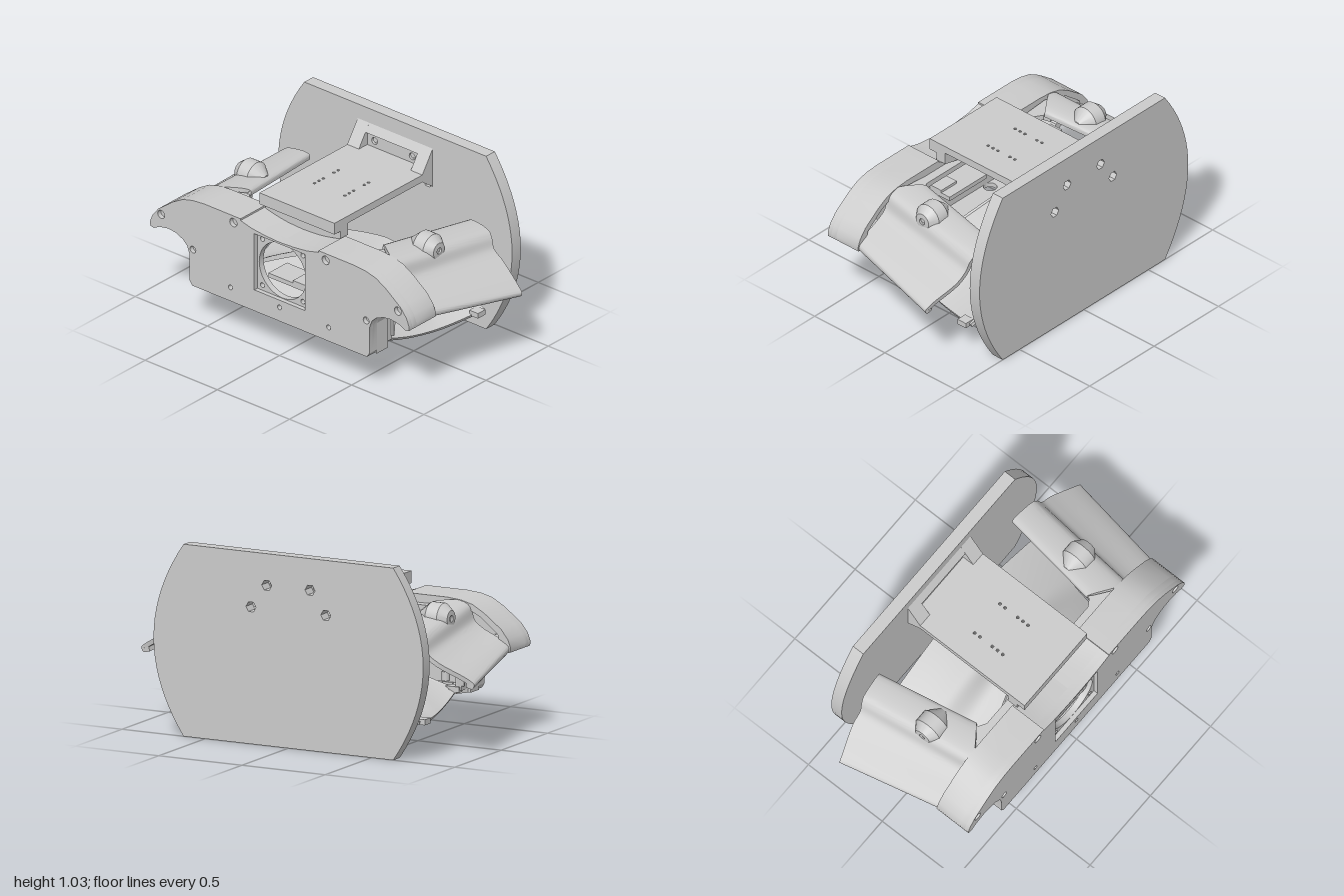
import * as THREE from 'three';
import { toCreasedNormals } from 'three/addons/utils/BufferGeometryUtils.js';

const mat = new THREE.MeshStandardMaterial({ color: 0xcccccc, side: THREE.DoubleSide });
const V2 = (x, y) => new THREE.Vector2(x, y);
const { lerp, smoothstep } = THREE.MathUtils;

function add(parent, name, geo) {
  const m = new THREE.Mesh(geo, mat);
  m.name = name;
  parent.add(m);
}
function box(parent, name, x0, x1, y0, y1, z0, z1) {
  const g = new THREE.BoxGeometry(x1 - x0, y1 - y0, z1 - z0);
  add(parent, name, g.translate((x0 + x1) / 2, (y0 + y1) / 2, (z0 + z1) / 2));
}
const poly = (pts) => new THREE.Shape(pts.map(([x, y]) => V2(x, y)));
// closed outline from its right half, listed from the top centre to the bottom centre
const mirrored = (half) => poly([...half, ...half.slice(1, -1).reverse().map(([x, y]) => [-x, y])]);
function circleHole(shape, x, y, r, sides = 20) {
  const pts = [];
  for (let i = 0; i < sides; i++) {
    const a = (i / sides) * Math.PI * 2;
    pts.push(V2(x + r * Math.cos(a), y + r * Math.sin(a)));
  }
  shape.holes.push(new THREE.Path(pts));
}
const extrude = (shape, depth) =>
  toCreasedNormals(new THREE.ExtrudeGeometry(shape, { depth, bevelEnabled: false, curveSegments: 24 }), 0.5);
// extrusions: front outline, plan outline (x, z) and side outline (z, y)
const frontCut = (s, z0, z1) => extrude(s, z1 - z0).translate(0, 0, z0);
const planCut = (s, y0, y1) => extrude(s, y1 - y0).rotateX(Math.PI / 2).translate(0, y1, 0);
const sideCut = (s, x0, x1) => extrude(s, x1 - x0).rotateY(-Math.PI / 2).translate(x1, 0, 0);

// closed sheet of given thickness over a surface f(u, v)
function sheet(f, nu, nv, t) {
  const pos = [], idx = [], row = nv + 1, N = (nu + 1) * row, e = 1e-3;
  const top = [], bottom = [];
  for (let i = 0; i <= nu; i++) for (let j = 0; j <= nv; j++) {
    const u = i / nu, v = j / nv, p = f(u, v);
    const du = f(Math.min(u + e, 1), v).sub(f(Math.max(u - e, 0), v));
    const dv = f(u, Math.min(v + e, 1)).sub(f(u, Math.max(v - e, 0)));
    top.push(p);
    bottom.push(p.clone().addScaledVector(du.cross(dv).normalize(), -t));
  }
  for (const p of [...top, ...bottom]) pos.push(p.x, p.y, p.z);
  const quad = (a, b, c, d) => idx.push(a, b, c, a, c, d);
  for (let i = 0; i < nu; i++) for (let j = 0; j < nv; j++) {
    const a = i * row + j, b = a + row;
    quad(a, b, b + 1, a + 1);
    quad(N + a, N + a + 1, N + b + 1, N + b);
  }
  for (let i = 0; i < nu; i++) {
    const a = i * row, b = a + row;
    quad(a, N + a, N + b, b);
    quad(a + nv, b + nv, N + b + nv, N + a + nv);
  }
  for (let j = 0; j < nv; j++) {
    const a = j, b = nu * row + j;
    quad(a, a + 1, N + a + 1, N + a);
    quad(b, N + b, N + b + 1, b + 1);
  }
  const g = new THREE.BufferGeometry();
  g.setAttribute('position', new THREE.Float32BufferAttribute(pos, 3));
  g.setIndex(idx);
  return toCreasedNormals(g, 0.7);
}

function backPlate(root) {
  const half = [[0, 1.03], [0.63, 1.03]];
  for (let i = 1; i < 20; i++) {
    const k = 1 - i / 10;
    half.push([0.63 + 0.18 * (1 - k * k), 0.515 + 0.515 * k]);
  }
  half.push([0.63, 0], [0, 0]);
  const s = mirrored(half);
  for (const d of [-1, 1]) {
    circleHole(s, d * 0.13, 0.86, 0.03, 6);
    circleHole(s, d * 0.225, 0.735, 0.03, 6);
  }
  add(root, 'backPlate', frontCut(s, -0.5, -0.43));
}

function bracket(root) {
  const g = new THREE.Group();
  g.name = 'bracket';
  root.add(g);
  const deck = poly([[-0.26, -0.43], [0.26, -0.43], [0.26, 0.36], [-0.26, 0.36]]);
  for (const x of [-0.11, 0.1]) for (const z of [-0.1, -0.065, 0.02, 0.055, 0.09]) circleHole(deck, x, z, 0.008, 10);
  add(g, 'platform', planCut(deck, 0.78, 0.822));
  // sloping gussets either side of a window
  for (const x of [-0.26, 0.18]) {
    add(g, 'gusset', sideCut(poly([[-0.345, 0.82], [-0.43, 0.945], [-0.43, 0.72], [-0.345, 0.78]]), x, x + 0.08));
  }
  add(g, 'windowHead', sideCut(poly([[-0.4, 0.9], [-0.43, 0.945], [-0.43, 0.9]]), -0.18, 0.18));
  const flange = poly([[-0.18, 0.82], [0.18, 0.82], [0.18, 0.9], [-0.18, 0.9]]);
  for (const d of [-1, 1]) circleHole(flange, d * 0.13, 0.86, 0.02);
  add(g, 'flange', frontCut(flange, -0.43, -0.415));
  box(g, 'lowerFlange', -0.18, 0.18, 0.72, 0.78, -0.43, -0.413);
  // stepped foot with a curved underside
  box(g, 'footLip', -0.26, 0.26, 0.755, 0.79, 0.25, 0.36);
  const foot = poly([[-0.26, 0.76], [-0.26, 0.71]]);
  foot.quadraticCurveTo(0, 0.64, 0.26, 0.71);
  foot.lineTo(0.26, 0.76);
  add(g, 'foot', frontCut(foot, 0.25, 0.31));
}

// right half of the front outline: upper part, then the leg below the wing
const upperHalf = [[0, 0.675], [0.1, 0.68], [0.19, 0.69], [0.27, 0.71], [0.27, 0.72], [0.52, 0.72], [0.6, 0.713],
  [0.67, 0.695], [0.74, 0.655], [0.84, 0.58], [0.88, 0.53], [0.898, 0.485], [0.895, 0.46], [0.87, 0.455],
  [0.83, 0.476], [0.77, 0.486], [0.72, 0.48], [0.67, 0.458], [0.64, 0.43], [0.625, 0.39]];
const bodyHalf = [...upperHalf, [0.622, 0.23], [0.605, 0.205], [0, 0.205]];
const cavityEdge = [[0.595, 0.39], [0.6, 0.43], [0.64, 0.49], [0.74, 0.52], [0.83, 0.515], [0.82, 0.55], [0.72, 0.63],
  [0.63, 0.675], [0.55, 0.69], [0.26, 0.665], [0, 0.645]];

function frontBody(root) {
  const g = new THREE.Group();
  g.name = 'frontBody';
  root.add(g);
  const face = mirrored(bodyHalf);
  face.holes.push(new THREE.Path([V2(-0.175, 0.33), V2(0.175, 0.33), V2(0.175, 0.665), V2(-0.175, 0.665)]));
  circleHole(face, 0, 0.287, 0.014);
  for (const d of [-1, 1]) {
    for (const [x, y, r] of [[0.32, 0.68, 0.025], [0.82, 0.553, 0.024], [0.6, 0.42, 0.02], [0.34, 0.287, 0.014]]) {
      circleHole(face, d * x, y, r);
    }
  }
  add(g, 'facePlate', frontCut(face, 0.475, 0.5));
  // recessed panel with the round opening
  const panel = mirrored(bodyHalf);
  circleHole(panel, 0, 0.495, 0.162, 48);
  for (const x of [-0.14, 0.14]) for (const y of [0.36, 0.635]) circleHole(panel, x, y, 0.014);
  add(g, 'panel', frontCut(panel, 0.44, 0.475));
  // floor with openings
  const floor = mirrored([[0, 0.45], [0.605, 0.45], [0.605, 0.35], [0.57, 0.29], [0.4, 0.225], [0, 0.225]]);
  for (const d of [-1, 1]) {
    circleHole(floor, d * 0.195, 0.28, 0.036);
    circleHole(floor, d * 0.26, 0.405, 0.036);
    floor.holes.push(new THREE.Path([V2(d * 0.41, 0.38), V2(d * 0.48, 0.38), V2(d * 0.48, 0.43), V2(d * 0.41, 0.43)]));
  }
  add(g, 'floor', planCut(floor, 0.205, 0.23));
  box(g, 'innerShelf', -0.12, 0.17, 0.405, 0.43, 0.3, 0.45);
  box(g, 'shelfBlock', 0.05, 0.17, 0.43, 0.445, 0.36, 0.45);
  const roof = mirrored([[0, 0.3], [0.62, 0.3], [0.61, 0.2], [0.47, 0.17], [0.46, 0.21], [0.42, 0.235], [0, 0.235]]);
  add(g, 'roof', planCut(roof, 0.645, 0.675));
  // wing walls, legs and rear ribs
  for (const d of [-1, 1]) {
    const side = new THREE.Group();
    side.name = d > 0 ? 'leftWing' : 'rightWing';
    side.scale.x = d;
    g.add(side);
    add(side, 'wingWall', frontCut(poly([...upperHalf, ...cavityEdge]), 0.285, 0.44));
    box(side, 'leg', 0.595, 0.622, 0.206, 0.4, 0.35, 0.44);
    box(side, 'innerLeg', 0.565, 0.6, 0.225, 0.45, 0.29, 0.36);
    add(side, 'rearRib', sideCut(poly([[0.3, 0.25], [0.29, 0.25], [0.28, 0.34], [0.22, 0.42], [0.22, 0.5], [0.3, 0.5]]), 0.575, 0.615));
    add(side, 'standoff', new THREE.CylinderGeometry(0.022, 0.022, 0.05, 16).translate(0.52, 0.302, 0.265));
  }
}

function arm() {
  const g = new THREE.Group();
  // front and back sections (x, y, z), from the turned-down inner edge to the curled outer lip
  const curve = (pts) => new THREE.CatmullRomCurve3(pts.map((p) => new THREE.Vector3(...p)), false, 'centripetal');
  const front = curve([[0.455, 0.672, 0.2], [0.46, 0.7, 0.2], [0.61, 0.708, 0.3], [0.65, 0.685, 0.3], [0.675, 0.61, 0.3],
    [0.72, 0.575, 0.3], [0.85, 0.515, 0.3], [0.885, 0.488, 0.3], [0.882, 0.462, 0.3], [0.855, 0.46, 0.3]]);
  const back = curve([[0.55, 0.617, -0.385], [0.555, 0.645, -0.385], [0.7, 0.638, -0.37], [0.73, 0.61, -0.36], [0.755, 0.555, -0.35],
    [0.82, 0.51, -0.345], [0.965, 0.432, -0.3], [1.0, 0.402, -0.29], [0.988, 0.378, -0.29], [0.95, 0.385, -0.29]]);
  add(g, 'armShell', sheet((u, v) => front.getPoint(u).lerp(back.getPoint(u), v), 54, 12, 0.025));
  // rounded pivot boss with tapered ends
  const profile = [[0, 0.51], [0.025, 0.51], [0.08, 0.575], [0.08, 0.645], [0.045, 0.69], [0.018, 0.692], [0.018, 0.68], [0, 0.68]];
  const boss = new THREE.LatheGeometry(profile.map(([r, h]) => V2(r, h)), 32);
  add(g, 'pivotBoss', toCreasedNormals(boss.rotateZ(-Math.PI / 2).translate(0, 0.67, 0.018), 0.5));
  return g;
}

function lowerShell(root) {
  // arch height, rim height and half width at depth z
  const crown = (z) => 0.337 + 0.1 * smoothstep(z, -0.09, 0.06) + 0.35 * Math.min(z + 0.15, 0) ** 2;
  const rim = (z) => 0.152 + (z > -0.05 ? 0.55 : 0.4) * (z + 0.05) ** 2;
  const reach = (z) => 0.61 - 0.211 * z + 0.16 * z * z;
  const surface = (u, v) => {
    const s = u * 2 - 1, k = Math.abs(s) ** 1.4;
    const z = lerp(0.12 + 0.19 * k, -0.362 + 0.025 * k, v);
    return new THREE.Vector3(s * reach(z), lerp(crown(z), rim(z), k), z);
  };
  add(root, 'lowerShell', sheet(surface, 48, 30, 0.018));
  // sloping wall from the front of the arch down to the floor
  const slope = (u, v) => {
    const p = surface(u, 0);
    return p.lerp(new THREE.Vector3(p.x, 0.222, 0.3), v);
  };
  add(root, 'slopingWall', sheet(slope, 40, 4, 0.012));
  for (const d of [-1, 1]) {
    box(root, 'rearTab', d * 0.69 - 0.03, d * 0.69 + 0.03, 0.163, 0.193, -0.32, -0.26);
    box(root, 'frontTab', d * 0.55 - 0.04, d * 0.55 + 0.04, 0.215, 0.245, 0.28, 0.335);
  }
}

export function createModel() {
  const root = new THREE.Group();
  root.name = 'mountedHousing';
  backPlate(root);
  bracket(root);
  frontBody(root);
  const left = arm(), right = arm();
  left.name = 'leftArm';
  right.name = 'rightArm';
  right.scale.x = -1;
  root.add(left, right);
  lowerShell(root);
  return root;
}
